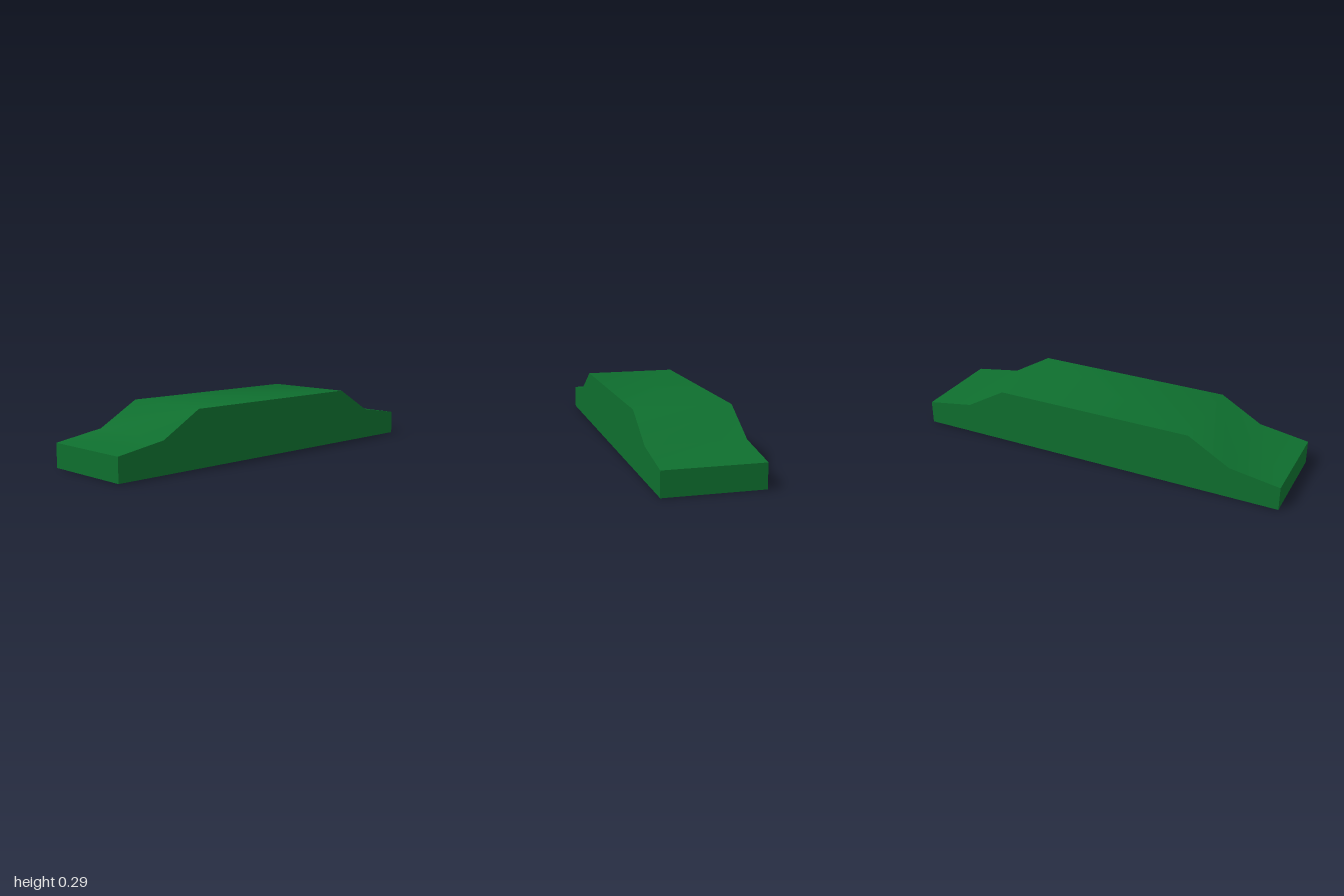
import * as THREE from 'three';
import { toCreasedNormals } from 'three/addons/utils/BufferGeometryUtils.js';

export function createModel() {
  const group = new THREE.Group();
  group.name = 'taperedBlock';
  const green = new THREE.MeshStandardMaterial({ color: 0x0e6e2e });
  green.name = 'green';

  // Half of the side profile, from the base to the flat top
  const half = [[1, 0], [1, 0.122], [0.742, 0.163], [0.527, 0.287]];
  const mirrored = half.map(([x, y]) => [-x, y]).reverse();
  const profile = new THREE.Shape(
    [...half, ...mirrored].map(([x, y]) => new THREE.Vector2(x, y))
  );

  // Straight extrusion, with the gentle bends along the top smoothed
  const depth = 0.488;
  const extruded = new THREE.ExtrudeGeometry(profile, { depth, bevelEnabled: false });
  extruded.translate(0, 0, -depth / 2);
  const body = new THREE.Mesh(toCreasedNormals(extruded, 0.7), green);
  body.name = 'body';
  group.add(body);

  return group;
}
